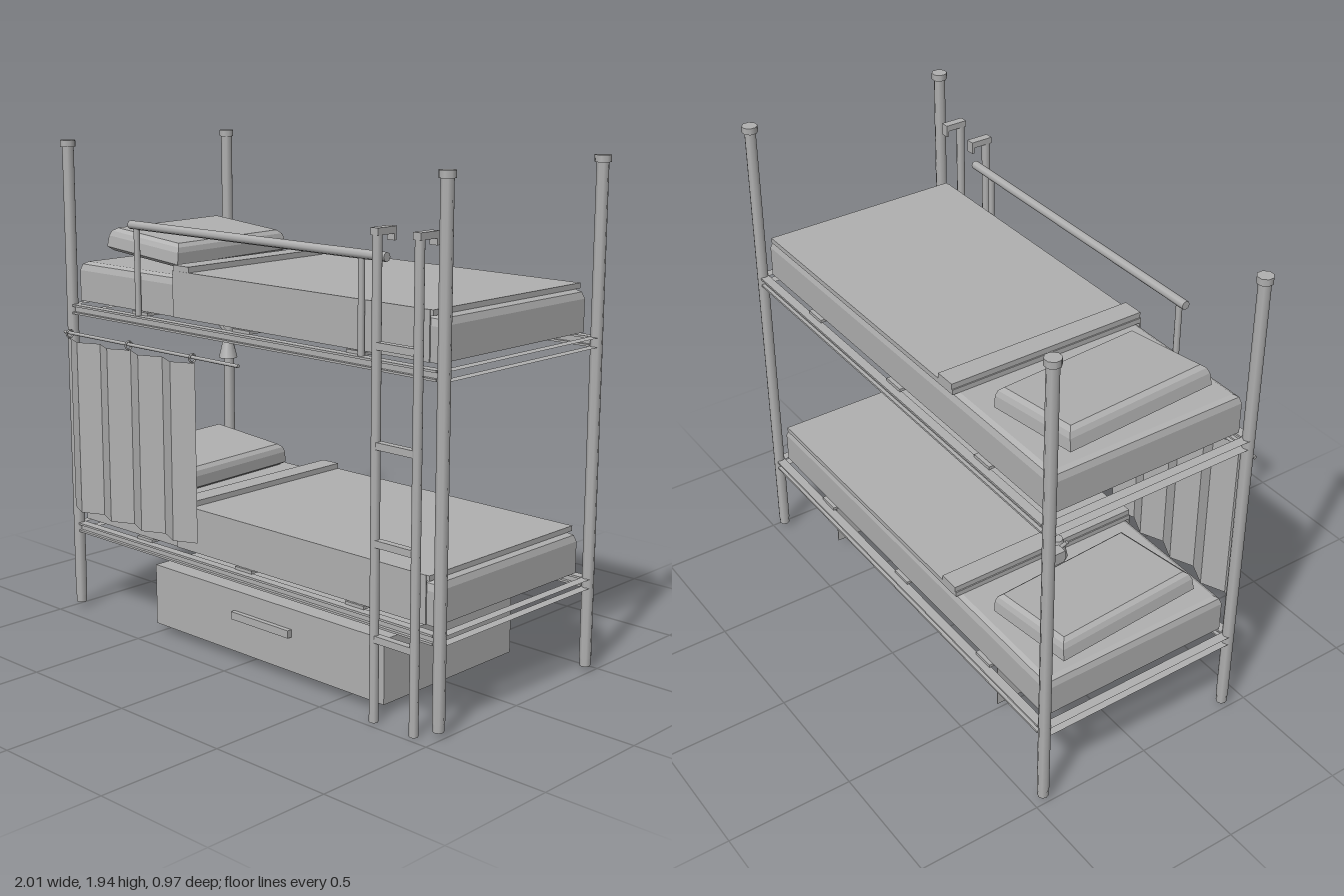
import * as THREE from 'three';

const grey = new THREE.MeshStandardMaterial({ color: 0xb0b0b0, side: THREE.DoubleSide });
grey.name = 'plain grey';

const FRONT = 0.405, BACK = -0.455, POST_X = 0.975, DECK_GAP = 0.915;

function add(parent, name, geometry, x = 0, y = 0, z = 0) {
  const mesh = new THREE.Mesh(geometry, grey);
  mesh.name = name;
  mesh.position.set(x, y, z);
  parent.add(mesh);
  return mesh;
}

// Box given by its minimum and maximum on each axis
function span(parent, name, [x0, x1], [y0, y1], [z0, z1]) {
  return add(parent, name, new THREE.BoxGeometry(x1 - x0, y1 - y0, z1 - z0),
    (x0 + x1) / 2, (y0 + y1) / 2, (z0 + z1) / 2);
}

// Round bar between two points
function bar(parent, name, from, to, radius, sides = 8) {
  const a = new THREE.Vector3(...from), b = new THREE.Vector3(...to);
  const geometry = new THREE.CylinderGeometry(radius, radius, a.distanceTo(b), sides);
  const mesh = add(parent, name, geometry);
  mesh.position.copy(a).add(b).multiplyScalar(0.5);
  mesh.quaternion.setFromUnitVectors(new THREE.Vector3(0, 1, 0), b.sub(a).normalize());
  return mesh;
}

// Rectangular cushion lofted through [inset, y] rings, faceted, optionally open below
function cushion(width, depth, rings, closedBelow) {
  const pos = [];
  const corners = ([inset, y]) => [[1, 1], [1, -1], [-1, -1], [-1, 1]]
    .map(([sx, sz]) => [sx * (width / 2 - inset), y, sz * (depth / 2 - inset)]);
  const quad = (a, b, c, d) => pos.push(...a, ...b, ...c, ...a, ...c, ...d);
  const loops = rings.map(corners);
  for (let r = 0; r < loops.length - 1; r++) {
    for (let i = 0; i < 4; i++) {
      const j = (i + 1) % 4;
      quad(loops[r][i], loops[r][j], loops[r + 1][j], loops[r + 1][i]);
    }
  }
  quad(...loops[loops.length - 1]);
  if (closedBelow) quad(...loops[0].slice().reverse());
  const geometry = new THREE.BufferGeometry();
  geometry.setAttribute('position', new THREE.Float32BufferAttribute(pos, 3));
  geometry.computeVertexNormals();
  return geometry;
}

// Corner posts with eight-sided caps
function addPosts(root) {
  for (const x of [-POST_X, POST_X]) {
    for (const z of [FRONT, BACK]) {
      bar(root, 'post', [x, 0.05, z], [x, 1.92, z], 0.023);
      bar(root, 'postFoot', [x, 0.02, z], [x, 0.05, z], 0.021);
      const cap = add(root, 'postCap', new THREE.CylinderGeometry(0.031, 0.031, 0.026, 8), x, 1.925, z);
      cap.rotation.y = Math.PI / 8;
    }
  }
}

// One bed level: rails, slats, mattress, blanket and pillow
function makeDeck() {
  const deck = new THREE.Group();
  deck.name = 'bedDeck';
  for (const z of [FRONT, BACK]) {
    span(deck, 'sideRailWeb', [-0.955, 0.955], [0.33, 0.368], [z - 0.004, z + 0.004]);
    span(deck, 'sideRailTop', [-0.955, 0.955], [0.36, 0.368], [z - 0.018, z + 0.018]);
    span(deck, 'sideRailBottom', [-0.955, 0.955], [0.33, 0.338], [z - 0.018, z + 0.018]);
  }
  for (const x of [-POST_X, POST_X]) {
    for (const y of [0.332, 0.367]) {
      const strip = add(deck, 'endRail', new THREE.PlaneGeometry(0.038, 0.84), x, y, -0.025);
      strip.rotation.x = -Math.PI / 2;
    }
  }
  for (const x of [-0.57, 0, 0.57]) {
    span(deck, 'slat', [x - 0.045, x + 0.045], [0.368, 0.38], [BACK + 0.01, FRONT - 0.01]);
  }
  add(deck, 'mattress', cushion(1.88, 0.815, [[0, 0.382], [0, 0.505], [0.008, 0.53], [0.025, 0.54]], false),
    -0.005, 0, -0.0225);
  span(deck, 'blanketTop', [-0.38, 0.91], [0.54, 0.56], [-0.435, 0.388]);
  span(deck, 'blanketSide', [-0.38, 0.897], [0.382, 0.56], [0.384, 0.39]);
  span(deck, 'blanketFold', [-0.375, -0.29], [0.56, 0.582], [-0.435, 0.389]);
  const pillow = add(deck, 'pillow',
    cushion(0.4, 0.63, [[0.02, -0.045], [0, -0.03], [0.004, 0.015], [0.012, 0.035], [0.028, 0.048]], true),
    -0.715, 0.606, -0.045);
  pillow.rotation.set(0, 0.0625, -0.1);
  return deck;
}

// Guard rail of the upper bed
function addGuard(root) {
  bar(root, 'guardRail', [-0.6, 1.633, FRONT], [0.72, 1.633, FRONT], 0.017);
  for (const x of [-0.565, 0.605]) bar(root, 'guardSupport', [x, 1.28, FRONT], [x, 1.63, FRONT], 0.012);
}

// Hooked ladder
function addLadder(root) {
  const z = 0.462;
  for (const x of [0.727, 0.912]) {
    bar(root, 'ladderStile', [x, 0, z], [x, 1.72, z], 0.017);
    span(root, 'ladderHook', [x - 0.017, x + 0.017], [1.713, 1.738], [0.385, 0.478]);
    span(root, 'ladderHookTip', [x - 0.017, x + 0.017], [1.69, 1.713], [0.385, 0.395]);
  }
  for (const y of [0.31, 0.655, 1.0, 1.343]) {
    span(root, 'ladderRung', [0.735, 0.905], [y - 0.013, y + 0.013], [z - 0.015, z + 0.013]);
  }
}

// Under-bed drawer, open at the back and underneath
function addDrawer(root) {
  const x = [-0.51, 0.71], y = [0.035, 0.28], z = [-0.335, 0.39];
  span(root, 'drawerFront', x, y, [z[1] - 0.004, z[1]]);
  span(root, 'drawerTop', x, [y[1] - 0.004, y[1]], z);
  span(root, 'drawerSide', [x[0], x[0] + 0.004], y, z);
  span(root, 'drawerSide', [x[1] - 0.004, x[1]], y, z);
  span(root, 'drawerHandle', [-0.055, 0.25], [0.17, 0.2], [0.382, 0.41]);
}

// Pleated curtain hanging from a rod
function addCurtain(root) {
  const folds = 8, x0 = -0.945, step = 0.0931, pos = [];
  const foldZ = i => (i % 2 ? 0.486 : 0.444);
  for (let i = 0; i < folds; i++) {
    const a = [x0 + i * step, foldZ(i)], b = [x0 + (i + 1) * step, foldZ(i + 1)];
    const p = ([x, z], y) => [x, y, z];
    const lo = 0.447, hi = 1.15;
    pos.push(...p(a, lo), ...p(b, lo), ...p(b, hi), ...p(a, lo), ...p(b, hi), ...p(a, hi));
  }
  const geometry = new THREE.BufferGeometry();
  geometry.setAttribute('position', new THREE.Float32BufferAttribute(pos, 3));
  geometry.computeVertexNormals();
  add(root, 'curtain', geometry);
  bar(root, 'curtainRod', [-0.97, 1.174, 0.452], [0.045, 1.174, 0.452], 0.007);
  for (const x of [-0.938, -0.573, -0.205]) {
    const ring = add(root, 'curtainRing', new THREE.TorusGeometry(0.016, 0.004, 6, 12), x, 1.17, 0.452);
    ring.rotation.y = Math.PI / 2;
  }
}

// Reading lamp clamped to the back post
function addLamp(root) {
  span(root, 'lampClamp', [-0.975, -0.935], [1.1, 1.145], [-0.435, -0.385]);
  bar(root, 'lampArm', [-0.92, 1.123, -0.337], [-0.87, 1.043, -0.378], 0.007);
  add(root, 'lampShade', new THREE.CylinderGeometry(0.022, 0.04, 0.075, 10, 1), -0.82, 1.02, -0.305);
}

export function createModel() {
  const root = new THREE.Group();
  root.name = 'bunkBed';
  addPosts(root);
  const lower = makeDeck(), upper = makeDeck();
  upper.position.y = DECK_GAP;
  root.add(lower, upper);
  addGuard(root);
  addLadder(root);
  addDrawer(root);
  addCurtain(root);
  addLamp(root);
  return root;
}
